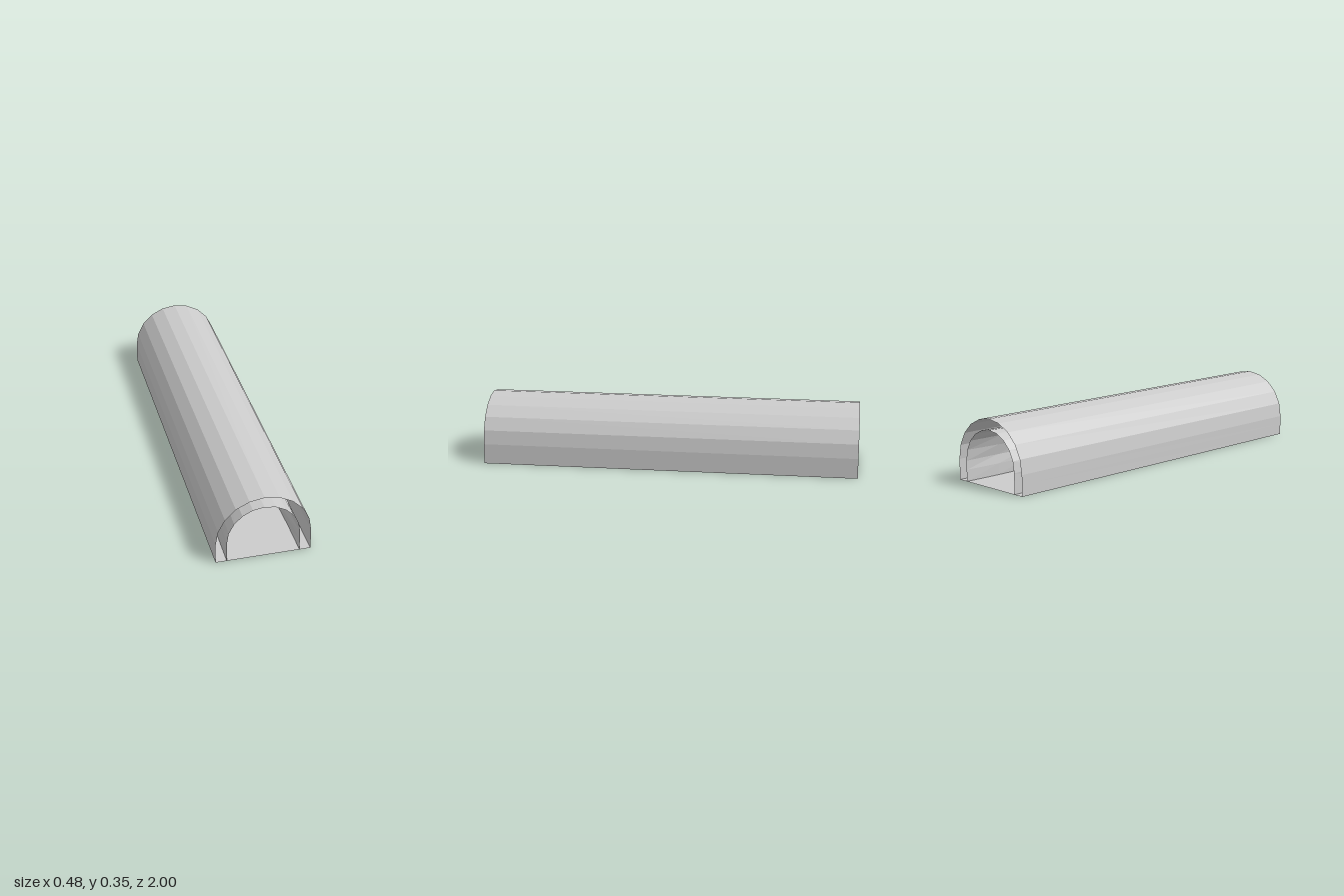
import * as THREE from 'three';

const HALF_LENGTH = 1;
const SPRING_Y = 0.107; // height where the walls turn into the vault

// Arch outline: straight wall, ten-sided half circle, straight wall
function archPoints(radius) {
  const points = [[radius, 0], [radius, 0.06]];
  for (let i = 0; i <= 10; i++) {
    const a = (i * Math.PI) / 10;
    points.push([radius * Math.cos(a), SPRING_Y + radius * Math.sin(a)]);
  }
  points.push([-radius, 0.06], [-radius, 0]);
  return points;
}

// Sweeps the arch along z; inset(station, point) pulls a point inwards
function archShell(radius, stations, inset) {
  const outline = archPoints(radius);
  const n = outline.length;
  const positions = [];
  const index = [];
  for (let s = 0; s <= stations; s++) {
    const z = HALF_LENGTH - (2 * HALF_LENGTH * s) / stations;
    outline.forEach(([x, y], i) => {
      const k = 1 - inset(s, i) / radius;
      positions.push(x * k, y > SPRING_Y ? SPRING_Y + (y - SPRING_Y) * k : y, z);
      if (s < stations && i < n - 1) {
        const a = s * n + i;
        index.push(a, a + n, a + 1, a + 1, a + n, a + n + 1);
      }
    });
  }
  const geometry = new THREE.BufferGeometry();
  geometry.setAttribute('position', new THREE.Float32BufferAttribute(positions, 3));
  geometry.setIndex(index);
  geometry.computeVertexNormals();
  return geometry;
}

export function createModel() {
  const model = new THREE.Group();
  model.name = 'tunnel';
  const material = new THREE.MeshStandardMaterial({
    color: 0xcccccc, flatShading: true, side: THREE.DoubleSide,
  });
  const add = (name, geometry) => {
    const mesh = new THREE.Mesh(geometry, material);
    mesh.name = name;
    model.add(mesh);
  };

  // Smooth outer vault
  add('outerShell', archShell(0.24, 1, () => 0));

  // Inner lining, slightly uneven between its clean ends
  let seed = 7;
  const random = () => (seed = (seed * 16807) % 2147483647) / 2147483647;
  const stations = 10;
  add('innerLining', archShell(0.184, stations, (s) =>
    s === 0 || s === stations ? 0 : 0.007 * random()));

  // Thin floor spanning both shells
  const floor = new THREE.PlaneGeometry(0.48, 2 * HALF_LENGTH);
  floor.rotateX(-Math.PI / 2);
  add('floor', floor);

  return model;
}
